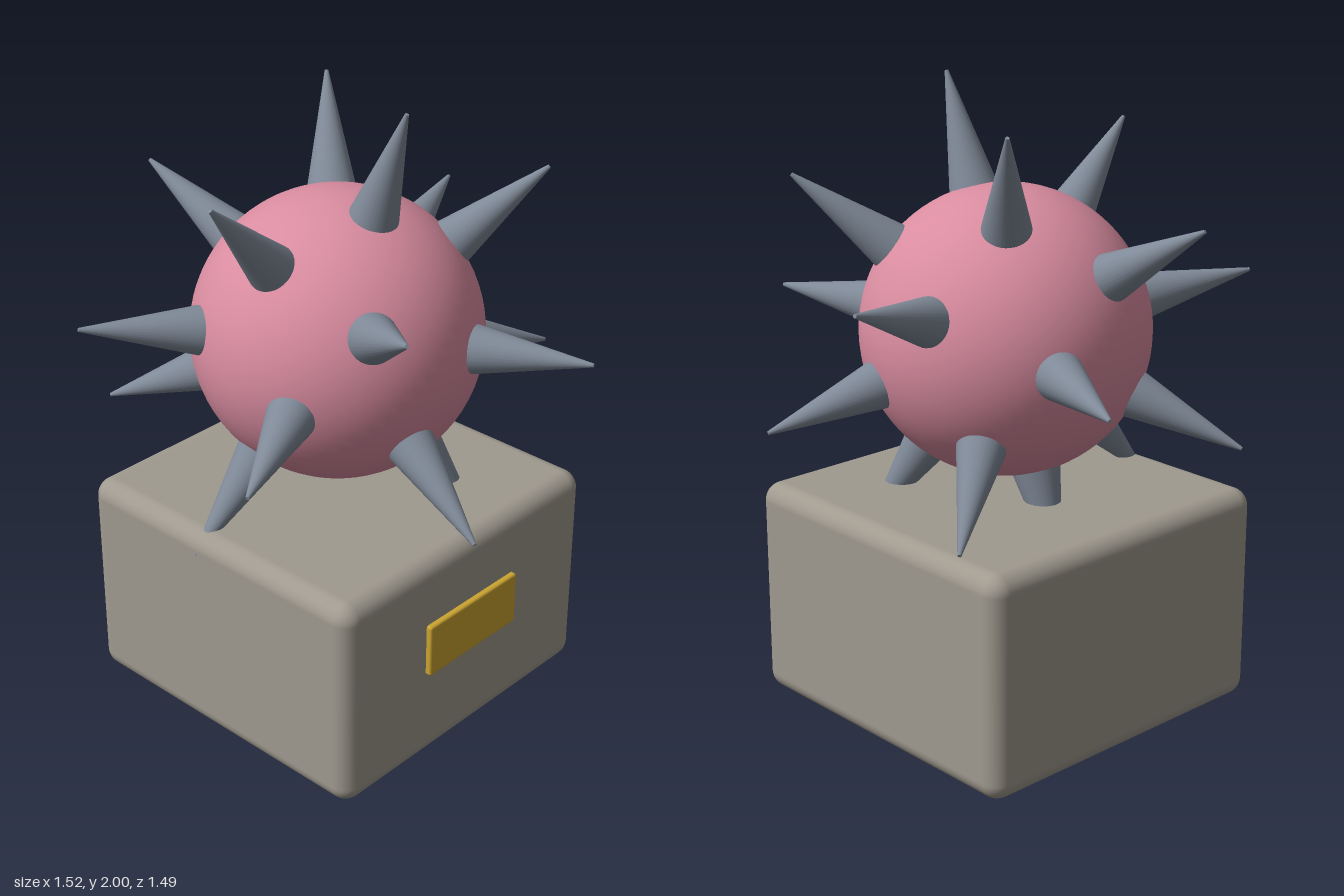
import * as THREE from 'three';
import { RoundedBoxGeometry } from 'three/addons/geometries/RoundedBoxGeometry.js';

const CX = -0.006, CZ = 0.013; // shared axis of ball and plinth
const BALL_Y = 1.23, BALL_R = 0.455;
const SPIKES = 18, TIP = 0.815, ROOT = 0.4;

function material(name, color) {
  const m = new THREE.MeshStandardMaterial({ color });
  m.name = name;
  return m;
}

export function createModel() {
  const stone = material('warm grey stone', 0xa09a8f);
  const pink = material('pink ball', 0xd98ca0);
  const steel = material('steel grey', 0x7f8997);
  const gold = material('gold', 0xcba430);

  const model = new THREE.Group();
  model.name = 'spikedBallOnPlinth';

  const add = (parent, name, geometry, mat, x = 0, y = 0, z = 0) => {
    const mesh = new THREE.Mesh(geometry, mat);
    mesh.name = name;
    mesh.position.set(x, y, z);
    parent.add(mesh);
    return mesh;
  };

  // Plinth with softened edges and a plaque on its left side
  add(model, 'plinth', new RoundedBoxGeometry(1.12, 0.715, 1.12, 5, 0.06), stone, CX, 0.3575, CZ);
  add(model, 'plaque', new RoundedBoxGeometry(0.05, 0.18, 0.41, 2, 0.008), gold, 0.548, 0.41, CZ);

  // Spiked ball
  const spikedBall = new THREE.Group();
  spikedBall.name = 'spikedBall';
  spikedBall.position.set(CX, BALL_Y, CZ);
  model.add(spikedBall);
  add(spikedBall, 'ball', new THREE.SphereGeometry(BALL_R, 64, 40), pink);

  // Spikes spread evenly over the ball along a golden-angle spiral
  const spikeGeometry = new THREE.CylinderGeometry(0.006, 0.085, TIP - ROOT, 32);
  const up = new THREE.Vector3(0, 1, 0);
  const goldenAngle = Math.PI * (3 - Math.sqrt(5));
  for (let i = 0; i < SPIKES; i++) {
    const y = 1 - (2 * i + 1) / SPIKES;
    const r = Math.sqrt(1 - y * y);
    const a = i * goldenAngle;
    const dir = new THREE.Vector3(r * Math.cos(a), y, -r * Math.sin(a));
    const spike = add(spikedBall, `spike${i + 1}`, spikeGeometry, steel);
    spike.position.copy(dir).multiplyScalar((TIP + ROOT) / 2);
    spike.quaternion.setFromUnitVectors(up, dir);
  }

  return model;
}
